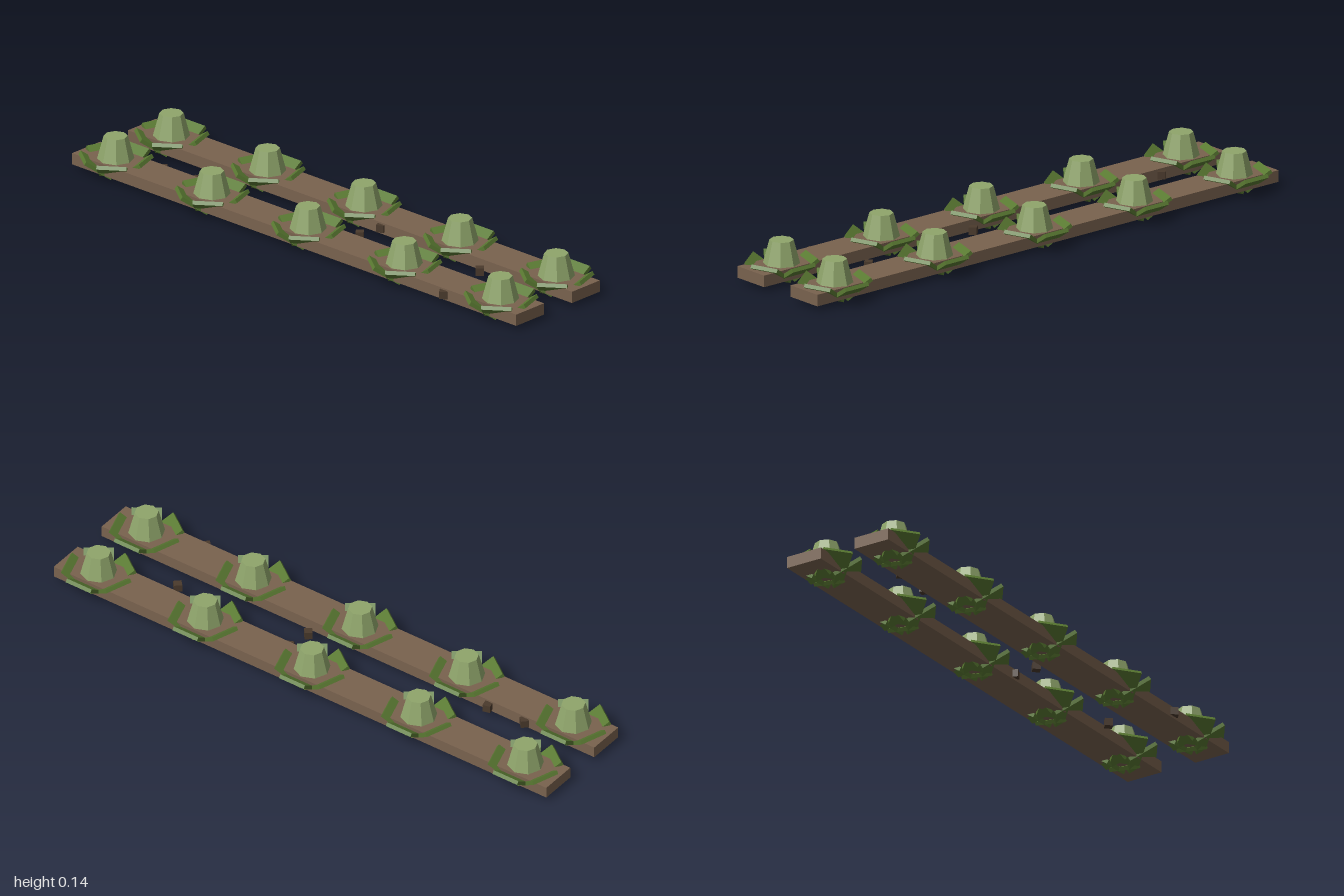
import * as THREE from 'three';

const U = 2 / 15; // one planting unit

function material(name, color) {
  const m = new THREE.MeshStandardMaterial({ color, flatShading: true });
  m.name = name;
  return m;
}

export function createModel() {
  const soil = material('soil brown', 0x79624e);
  const clodBrown = material('dark clod brown', 0x4a3a2c);
  const leafGreen = material('leaf green', 0x5a7a32);
  const headGreen = material('pale head green', 0x8fa56b);

  const model = new THREE.Group();
  model.name = 'cabbageRows';

  function add(parent, name, geometry, mat, x, y, z) {
    const mesh = new THREE.Mesh(geometry, mat);
    mesh.name = name;
    mesh.position.set(x, y, z);
    parent.add(mesh);
    return mesh;
  }

  const bedGeo = new THREE.BoxGeometry(U, 0.04, 2);
  const headGeo = new THREE.CylinderGeometry(0.04, 0.062, 0.083, 8);
  const leafGeo = new THREE.BoxGeometry(0.107, 0.0133, 0.1);
  const clodGeo = new THREE.BoxGeometry(0.027, 0.026, 0.027);

  // A tapered head ringed by five leaves that tilt up and outward
  function cabbage() {
    const plant = new THREE.Group();
    plant.name = 'cabbage';
    add(plant, 'head', headGeo, headGreen, 0, 0.0935, 0);
    for (let i = 0; i < 5; i++) {
      const arm = new THREE.Group();
      arm.name = 'leafArm';
      arm.rotation.y = (i * Math.PI * 2) / 5;
      add(arm, 'leaf', leafGeo, leafGreen, 0.0667, 0.035, 0).rotation.z = 0.59;
      plant.add(arm);
    }
    return plant;
  }

  // Two soil beds with five plants each
  for (const x of [-0.129, 0.1375]) {
    const row = new THREE.Group();
    row.name = 'row';
    row.position.x = x;
    add(row, 'soilBed', bedGeo, soil, 0, 0.035, 0);
    for (let i = -2; i <= 2; i++) {
      const plant = cabbage();
      plant.position.z = i * 0.4333;
      row.add(plant);
    }
    model.add(row);
  }

  // Loose clods: x, z, turn
  const clods = [
    [-0.057, -0.72, 0.8], [-0.052, -0.575, 0.25], [-0.02, 0.13, 0.7],
    [0.072, 0.14, 0.4], [0.028, 0.625, 0.75], [-0.198, 0.675, 0.65],
  ];
  for (const [x, z, turn] of clods) {
    add(model, 'clod', clodGeo, clodBrown, x, 0.036, z).rotation.y = turn;
  }
  return model;
}
